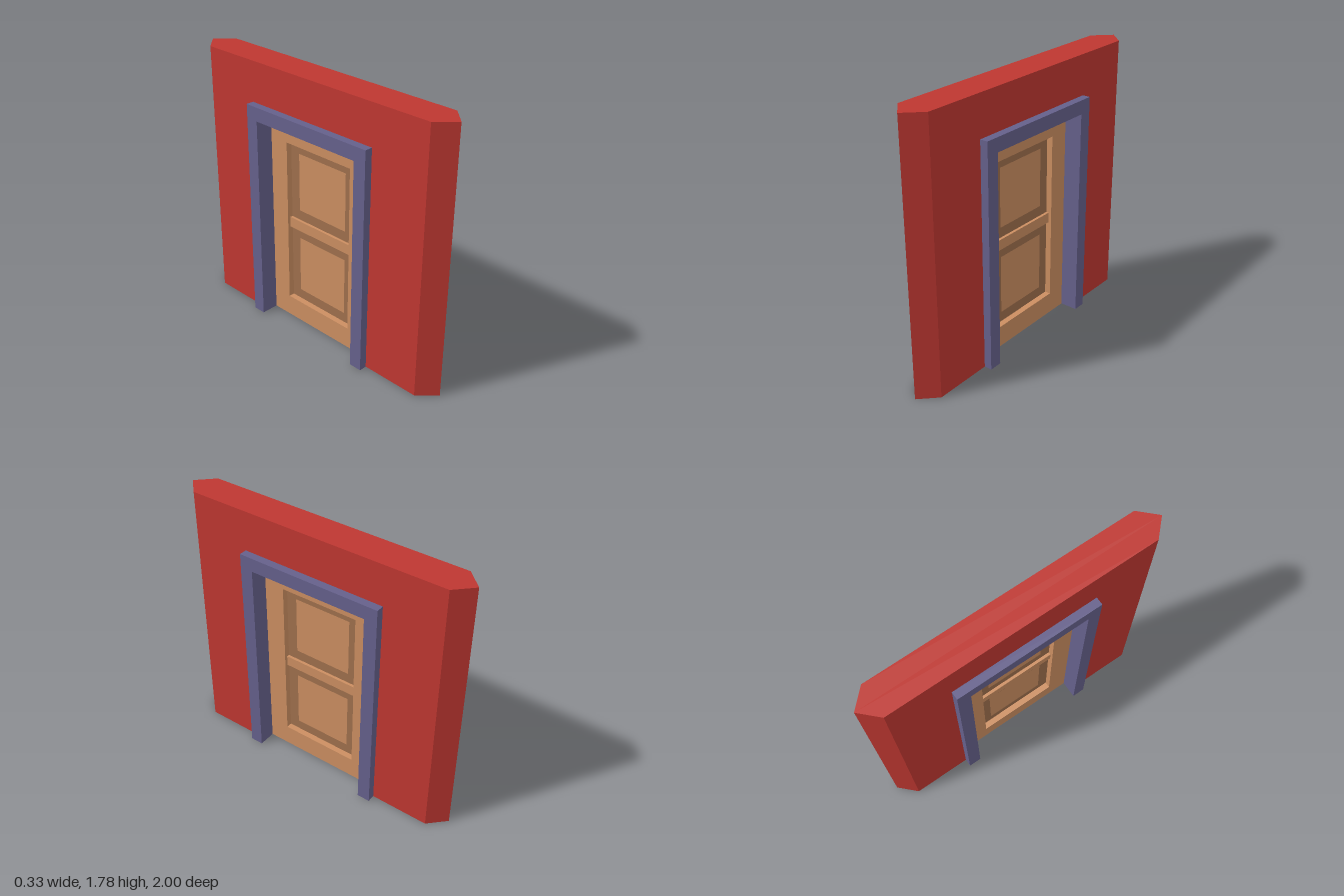
import * as THREE from 'three';

const material = (color) => new THREE.MeshStandardMaterial({ color, flatShading: true });
const red = material(0xbe3731);
const purple = material(0x65608b);
const tan = material(0xcb8e61);
const brown = material(0x9e6f4c);

// Rectangle outline as points, counter-clockwise
const rect = (halfWidth, y0, y1) => [
  [-halfWidth, y0], [halfWidth, y0], [halfWidth, y1], [-halfWidth, y1],
].map(([u, v]) => new THREE.Vector2(u, v));

// Upside-down U around the doorway, standing on y = 0
const arch = (outer, top, inner, innerTop) => new THREE.Shape([
  [-outer, 0], [-inner, 0], [-inner, innerTop], [inner, innerTop],
  [inner, 0], [outer, 0], [outer, top], [-outer, top],
].map(([u, v]) => new THREE.Vector2(u, v)));

// Rectangle with rectangular holes
function panelShape(outline, ...holes) {
  const shape = new THREE.Shape(outline);
  shape.holes = holes.map((points) => new THREE.Path(points));
  return shape;
}

// Extrude a side outline (z across, y up) across x, centred on centreX
function slab(shape, thickness, centreX = 0, steps = 1) {
  const geometry = new THREE.ExtrudeGeometry(shape, { depth: thickness, bevelEnabled: false, steps });
  geometry.translate(0, 0, -thickness / 2);
  geometry.rotateY(Math.PI / 2);
  geometry.translate(centreX, 0, 0);
  return geometry;
}

export function createModel() {
  const model = new THREE.Group();
  const add = (parent, name, geometry, mat) => {
    const mesh = new THREE.Mesh(geometry, mat);
    mesh.name = name;
    parent.add(mesh);
  };

  // Wall with doorway; the middle layer of each end is pulled out to a point
  const wall = slab(arch(0.89, 1.78, 0.412, 1.424), 0.22, 0, 2);
  const p = wall.attributes.position;
  for (let i = 0; i < p.count; i++) {
    if (Math.abs(p.getX(i)) < 0.01 && Math.abs(p.getZ(i)) > 0.8) p.setZ(i, Math.sign(p.getZ(i)));
  }
  wall.computeVertexNormals();
  add(model, 'wall', wall, red);

  // Door frame: a lining through the wall and a raised trim on each side
  const frame = new THREE.Group();
  frame.name = 'doorFrame';
  add(frame, 'frameLining', slab(arch(0.412, 1.424, 0.408, 1.42), 0.22), purple);
  for (const side of [-1, 1]) {
    add(frame, 'frameTrim', slab(arch(0.495, 1.512, 0.408, 1.42), 0.053, side * 0.1365), purple);
  }
  model.add(frame);

  // Door: outer surround, recessed crossbar and two bordered panels
  const door = new THREE.Group();
  door.name = 'door';
  add(door, 'doorSurround', slab(panelShape(rect(0.408, 0, 1.42), rect(0.27, 0.145, 1.285)), 0.086), tan);
  add(door, 'crossbar', slab(panelShape(rect(0.27, 0.68, 0.75)), 0.044), tan);
  for (const [y0, y1] of [[0.145, 0.68], [0.75, 1.285]]) {
    const inner = rect(0.2, y0 + 0.068, y1 - 0.068);
    add(door, 'panelBorder', slab(panelShape(rect(0.27, y0, y1), inner), 0.006), brown);
    add(door, 'panelCentre', slab(panelShape(inner), 0.006), tan);
  }
  model.add(door);

  return model;
}
